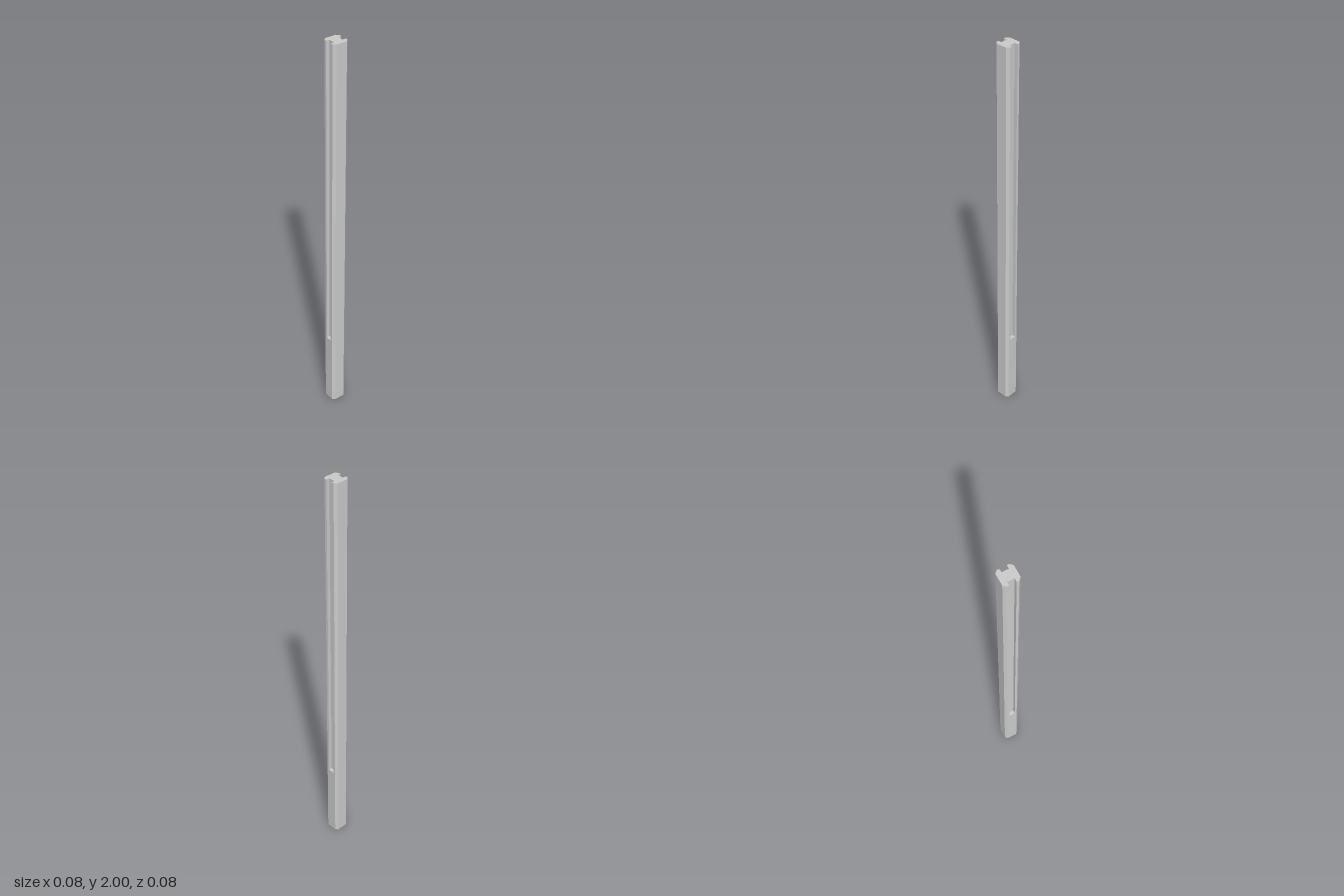
import * as THREE from 'three';

const HX = 0.0385, HZ = 0.0385;   // half width and half depth
const CH = 0.0115;                // corner chamfer
const SLOT = 0.0155, DEPTH = 0.0165; // slot half width and depth
const SLOT_FLOOR = 0.4, HEIGHT = 2;
const LEAN = 0.0035;              // sideways drift per unit of height

// Chamfered rectangle, optionally notched on both sides
function section(slotted) {
  const half = [[HX - CH, -HZ], [HX, -HZ + CH]];
  if (slotted) half.push([HX, -SLOT], [HX - DEPTH, -SLOT], [HX - DEPTH, SLOT], [HX, SLOT]);
  half.push([HX, HZ - CH], [HX - CH, HZ]);
  const points = [...half, ...half.map(([x, y]) => [-x, -y])];
  return new THREE.Shape(points.map(([x, y]) => new THREE.Vector2(x, y)));
}

// Upright length of the post between two heights, leaning slightly in x
function length(name, slotted, from, to, material) {
  const geometry = new THREE.ExtrudeGeometry(section(slotted), { depth: to - from, bevelEnabled: false });
  geometry.rotateX(-Math.PI / 2).translate(0, from, 0);
  const p = geometry.attributes.position;
  for (let i = 0; i < p.count; i++) p.setX(i, p.getX(i) + (p.getY(i) - HEIGHT / 2) * LEAN);
  geometry.computeVertexNormals();
  const mesh = new THREE.Mesh(geometry, material);
  mesh.name = name;
  return mesh;
}

export function createModel() {
  const group = new THREE.Group();
  group.name = 'slottedPost';
  const material = new THREE.MeshStandardMaterial({ color: 0xcccccc, flatShading: true });
  // Solid foot, then the shaft with a panel slot down each side
  group.add(length('postFoot', false, 0, SLOT_FLOOR, material));
  group.add(length('slottedShaft', true, SLOT_FLOOR, HEIGHT, material));
  return group;
}
